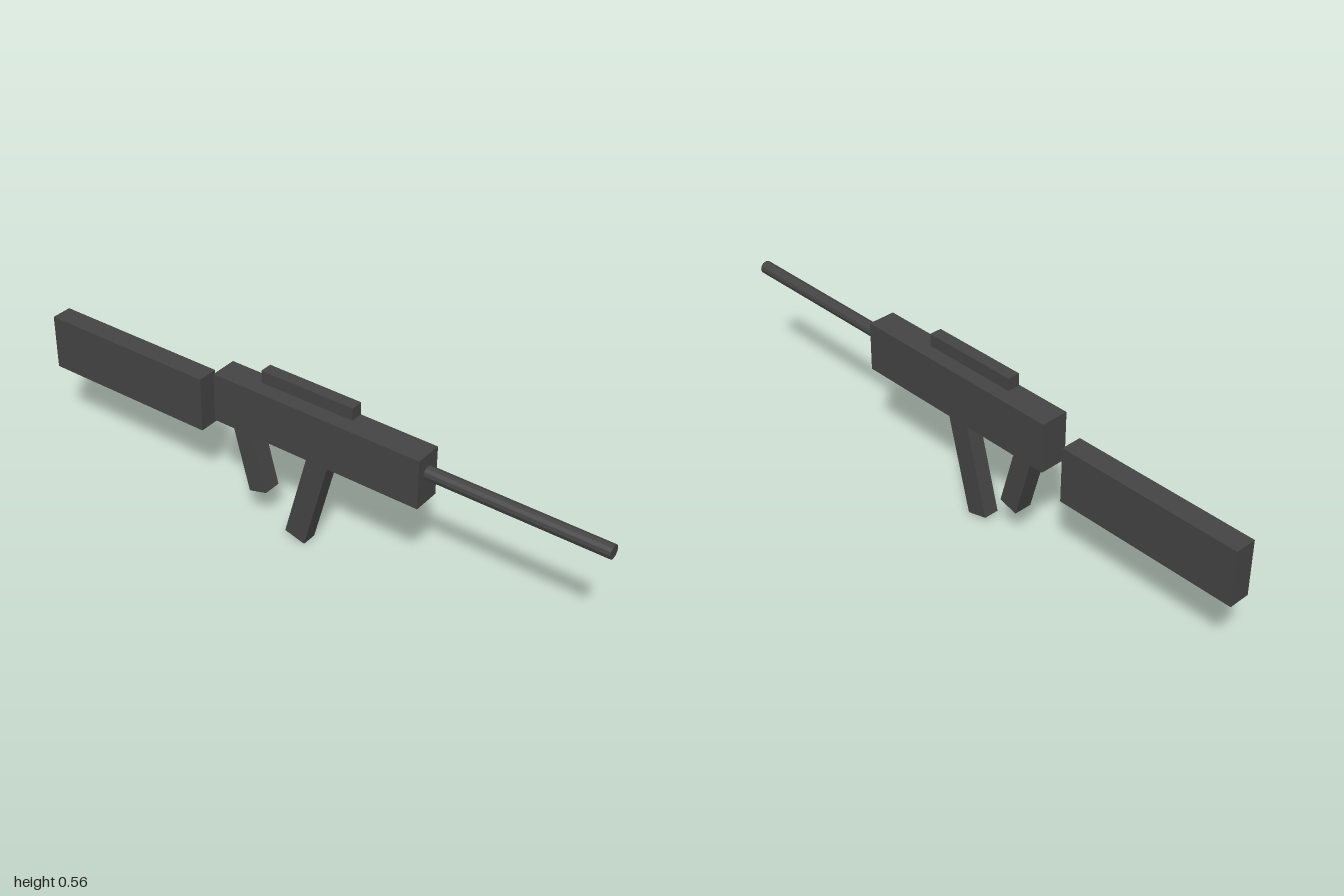
import * as THREE from 'three';

export function createModel() {
  const group = new THREE.Group();
  const gunmetal = new THREE.MeshStandardMaterial({ color: 0x444444, flatShading: true });
  gunmetal.name = 'darkGrey';

  function add(name, geometry, x, y, tilt = 0) {
    const mesh = new THREE.Mesh(geometry, gunmetal);
    mesh.name = name;
    mesh.position.set(x, y, 0);
    mesh.rotation.z = tilt;
    group.add(mesh);
  }
  const box = (w, h, d) => new THREE.BoxGeometry(w, h, d);
  const lean = THREE.MathUtils.degToRad(15);

  // Main body with the separate stock behind it and the rail floating above
  add('body', box(0.738, 0.164, 0.092), 0.048, 0.418);
  add('stock', box(0.615, 0.185, 0.07), -0.6925, 0.357);
  add('sight', box(0.328, 0.041, 0.041), 0.007, 0.5415);

  // Barrel pointing along +x
  const barrel = new THREE.CylinderGeometry(0.022, 0.022, 0.585, 12);
  barrel.rotateZ(-Math.PI / 2);
  add('barrel', barrel, 0.7075, 0.438);

  // Slanted grip and magazine
  add('grip', box(0.066, 0.246, 0.0615), -0.204, 0.242, lean);
  add('magazine', box(0.075, 0.328, 0.0515), 0.008, 0.168, -lean);

  return group;
}
